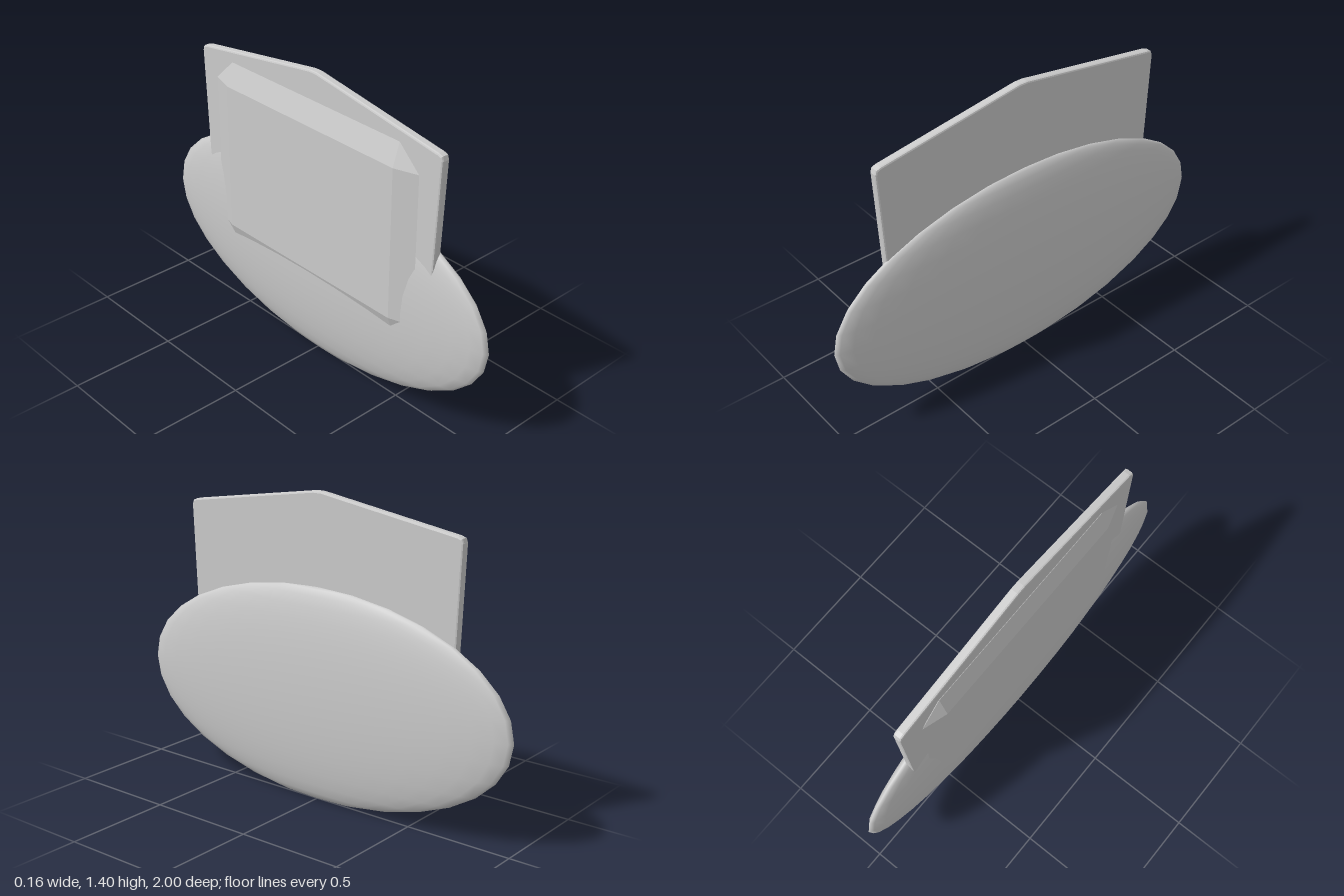
import * as THREE from 'three';
import { ConvexGeometry } from 'three/addons/geometries/ConvexGeometry.js';

const material = new THREE.MeshStandardMaterial({ color: 0xcccccc });

function add(group, name, geometry) {
  const mesh = new THREE.Mesh(geometry, material);
  mesh.name = name;
  group.add(mesh);
}

export function createModel() {
  const group = new THREE.Group();

  // Flattened oval body
  const body = new THREE.SphereGeometry(1, 32, 16);
  body.scale(0.078, 0.492, 1);
  body.translate(0, 0.493, 0);
  add(group, 'ovalBody', body);

  // Upright gabled plate with clipped corners, its foot buried in the body
  const bevel = 0.008;
  const half = [[0.69, 0.4], [0.727, 1.265], [0.722, 1.28], [0.706, 1.286], [0.02, 1.391]];
  const outline = [...half, ...half.map(([z, y]) => [-z, y]).reverse()];
  const plate = new THREE.ExtrudeGeometry(
    new THREE.Shape(outline.map(([z, y]) => new THREE.Vector2(z, y))),
    { depth: 0.04 - 2 * bevel, bevelEnabled: true, bevelSize: bevel, bevelThickness: bevel, bevelSegments: 2 }
  );
  plate.translate(0, 0, bevel - 0.002);
  plate.rotateY(-Math.PI / 2);
  add(group, 'backPlate', plate);

  // Raised panel with sloped borders and clipped corners
  const [w, h, midY] = [0.515, 0.355, 0.815];
  const points = [];
  for (const sz of [-1, 1]) {
    for (const sy of [-1, 1]) {
      const corner = (x, dz, dy) =>
        points.push(new THREE.Vector3(x, midY + sy * (h + dy), sz * (w + dz)));
      corner(-0.081, 0, 0);
      corner(-0.046, 0.11, 0);
      corner(-0.046, 0, 0.105);
      corner(-0.011, 0, 0);
    }
  }
  add(group, 'raisedPanel', new ConvexGeometry(points));

  return group;
}
